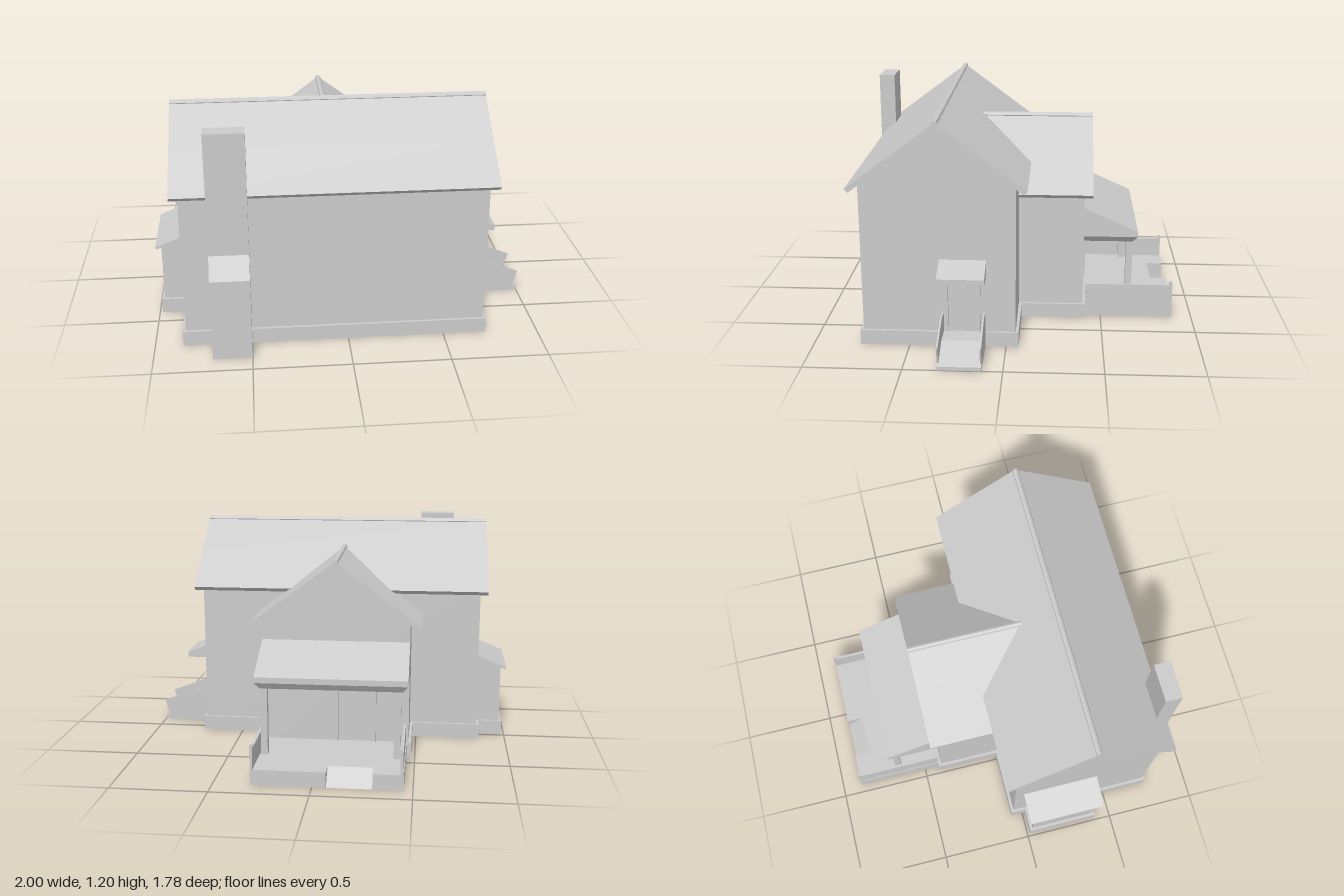
import * as THREE from 'three';

const mat = new THREE.MeshStandardMaterial({ color: 0xcccccc, side: THREE.DoubleSide, flatShading: true });

function mesh(parent, name, geo) {
  const m = new THREE.Mesh(geo, mat);
  m.name = name;
  parent.add(m);
  return m;
}

// Box given by its two corners
function box(parent, name, x0, x1, y0, y1, z0, z1) {
  const m = mesh(parent, name, new THREE.BoxGeometry(x1 - x0, y1 - y0, z1 - z0));
  m.position.set((x0 + x1) / 2, (y0 + y1) / 2, (z0 + z1) / 2);
  return m;
}

// Ruled surface between two polylines of [x, y, z] points
function strip(parent, name, A, B) {
  const v = [];
  for (let i = 0; i < A.length - 1; i++) {
    v.push(...A[i], ...B[i], ...B[i + 1], ...A[i], ...B[i + 1], ...A[i + 1]);
  }
  const g = new THREE.BufferGeometry();
  g.setAttribute('position', new THREE.Float32BufferAttribute(v, 3));
  g.computeVertexNormals();
  return mesh(parent, name, g);
}

const toShape = pts => new THREE.Shape(pts.map(p => new THREE.Vector2(p[0], p[1])));

// Closed prism: profile in (x, y), running along z
const solid = (pts, depth) => new THREE.ExtrudeGeometry(toShape(pts), { depth, bevelEnabled: false });

// Hollow prism without a bottom; profile runs up, over and down again
function hollow(name, pts, depth, frontEnd = true) {
  const g = new THREE.Group();
  g.name = name;
  strip(g, name + 'Sides', pts.map(p => [p[0], p[1], 0]), pts.map(p => [p[0], p[1], depth]));
  mesh(g, name + 'BackEnd', new THREE.ShapeGeometry(toShape(pts)));
  if (frontEnd) mesh(g, name + 'FrontEnd', new THREE.ShapeGeometry(toShape(pts))).position.z = depth;
  return g;
}

// Turns a profile drawn in (z, y) so that it runs from x1 towards -x
function alongX(o, x1) {
  o.rotation.y = -Math.PI / 2;
  o.position.x = x1;
  return o;
}

// Foundation skirt with a ledge on top, around a wall rectangle [x0, x1, z0, z1]
function skirt(parent, name, [x0, x1, z0, z1], start, sides) {
  const h = 0.08, t = 0.015;
  const ring = (o, y) => {
    const c = [[x1 + o, y, z1 + o], [x0 - o, y, z1 + o], [x0 - o, y, z0 - o], [x1 + o, y, z0 - o]];
    return Array.from({ length: sides + 1 }, (_, i) => c[(start + i) % 4]);
  };
  strip(parent, name, ring(t, 0), ring(t, h));
  strip(parent, name + 'Ledge', ring(t, h), ring(0, h));
}

const gable = (c, w, eave, peak) => [[c - w, 0], [c - w, eave], [c, peak], [c + w, eave], [c + w, 0]];

// Thin gabled roof profile; the mid points sit at drop "mid" below the ridge
function roofProfile(c, peak, drop, mid) {
  const w = 0.455, t = 0.034, s = mid / drop;
  return [[-w, -drop], [-w * s, -mid], [0, 0], [w * s, -mid], [w, -drop],
    [w - 0.018, -drop - 0.02], [w * s, -mid - t], [0, -t], [-w * s, -mid - t], [-w + 0.018, -drop - 0.02]]
    .map(([u, y]) => [c + u, peak + y]);
}

function ridge(parent, name, len) {
  return mesh(parent, name, new THREE.CylinderGeometry(0.016, 0.016, len, 8));
}

export function createModel() {
  const root = new THREE.Group();
  root.name = 'house';

  // Main block
  const main = [-0.84, 0.71, -0.05, 0.74];
  root.add(alongX(hollow('mainWalls', gable(0.345, 0.395, 0.855, 1.16), 1.55), 0.71));
  skirt(root, 'mainFoundation', main, 0, 4);
  alongX(mesh(root, 'mainRoof', solid(roofProfile(0.345, 1.19, 0.34, 0.17), 1.63)), 0.75);
  const cap = ridge(root, 'mainRidge', 1.63);
  cap.rotation.z = Math.PI / 2;
  cap.position.set(-0.065, 1.184, 0.345);

  // Rear wing, open towards the main block
  const cx = -0.07;
  const wing = hollow('wingWalls', gable(cx, 0.395, 0.735, 1.03), 0.35, false);
  wing.position.z = -0.4;
  root.add(wing);
  skirt(root, 'wingFoundation', [-0.465, 0.325, -0.4, -0.065], 1, 3);

  // Wing roof: its inner end follows the slope of the main roof
  const wingRoof = solid(roofProfile(cx, 1.055, 0.335, 0.17), 1);
  const p = wingRoof.attributes.position;
  for (let i = 0; i < p.count; i++) {
    const valley = 0.345 - (1.19 - p.getY(i)) * 0.455 / 0.34;
    p.setZ(i, p.getZ(i) < 0.5 ? -0.445 : Math.max(-0.05, valley));
  }
  wingRoof.computeVertexNormals();
  mesh(root, 'wingRoof', wingRoof);
  const wingCap = ridge(root, 'wingRidge', 0.615);
  wingCap.rotation.x = Math.PI / 2;
  wingCap.position.set(cx, 1.05, -0.1375);

  // Chimney
  root.add(alongX(hollow('chimney',
    [[0.74, 0], [0.74, 1.185], [0.83, 1.185], [0.83, 0.55], [0.895, 0.44], [0.895, 0]], 0.2), -0.5));

  // Lean-to on the right wall
  const lean = hollow('leanToWalls', [[-0.97, 0], [-0.97, 0.405], [-0.84, 0.458], [-0.84, 0]], 0.36);
  lean.position.z = 0.03;
  root.add(lean);
  skirt(root, 'leanToFoundation', [-0.97, -0.855, 0.03, 0.39], 0, 3);
  mesh(root, 'leanToRoof', solid([[-1, 0.402], [-0.84, 0.468], [-0.84, 0.453], [-0.995, 0.39]], 0.42));

  // Back porch deck with a ramp cut into its edge
  const [px0, px1, pz0, pz1] = [-0.455, 0.31, -0.89, -0.41];
  const [rx0, rx1, rz] = [-0.3, -0.07, -0.8];
  const deck = mesh(root, 'porchFloor', new THREE.ShapeGeometry(toShape(
    [[px0, -pz1], [px1, -pz1], [px1, -pz0], [rx1, -pz0], [rx1, -rz], [rx0, -rz], [rx0, -pz0], [px0, -pz0]])));
  deck.rotation.x = -Math.PI / 2;
  deck.position.y = 0.08;
  for (const path of [[[px0, pz1], [px0, pz0], [rx0, pz0]], [[rx1, pz0], [px1, pz0], [px1, pz1]]]) {
    strip(root, 'porchSkirt', path.map(([x, z]) => [x, 0, z]), path.map(([x, z]) => [x, 0.08, z]));
  }
  strip(root, 'porchRamp', [[rx0, 0, pz0], [rx0, 0.08, rz]], [[rx1, 0, pz0], [rx1, 0.08, rz]]);
  for (const x of [rx0, rx1]) {
    strip(root, 'rampCheek', [[x, 0, pz0], [x, 0.08, rz]], [[x, 0.08, pz0], [x, 0.08, rz]]);
  }

  // Porch rails, end posts, columns and door jambs, mirrored about the wing axis
  for (const s of [-1, 1]) {
    const pair = (name, a, b, ...yz) => {
      const xs = [cx + s * a, cx + s * b].sort((m, n) => m - n);
      box(root, name, xs[0], xs[1], ...yz);
    };
    pair('porchRail', 0.367, 0.381, 0.08, 0.19, -0.875, -0.415);
    pair('porchRailPost', 0.367, 0.381, 0.08, 0.21, -0.89, -0.875);
    pair('porchColumn', 0.325, 0.36, 0.08, 0.44, -0.665, -0.63);
  }
  for (const x of [-0.29, -0.09]) box(root, 'backDoorJamb', x, x + 0.012, 0.08, 0.405, -0.42, -0.4);
  box(root, 'backDoorHead', -0.29, -0.078, 0.393, 0.405, -0.42, -0.4);

  // Porch roof over a tapered soffit
  alongX(mesh(root, 'porchRoof', solid([[-0.69, 0.47], [-0.69, 0.5], [-0.4, 0.63], [-0.4, 0.47]], 0.785)), 0.32);
  const soffit = box(root, 'porchSoffit', -0.465, 0.32, 0.435, 0.47, -0.69, -0.4);
  const q = soffit.geometry.attributes.position;
  for (let i = 0; i < q.count; i++) {
    if (q.getY(i) > 0) continue;
    q.setX(i, q.getX(i) * 0.93);
    if (q.getZ(i) < 0) q.setZ(i, q.getZ(i) + 0.025);
  }
  soffit.geometry.computeVertexNormals();

  // Side entrance: canopy, door jambs, stoop with ramp and cheek walls
  mesh(root, 'sideCanopy', solid([[0.71, 0.39], [0.85, 0.39], [0.85, 0.42], [0.71, 0.472]], 0.24)).position.z = 0.1;
  for (const z of [0.13, 0.297]) box(root, 'sideDoorJamb', 0.71, 0.728, 0.08, 0.39, z, z + 0.014);
  mesh(root, 'sideStoop', solid([[0.72, 0], [1, 0], [1, 0.02], [0.84, 0.085], [0.72, 0.085]], 0.222)).position.z = 0.106;
  for (const z of [0.106, 0.32]) {
    mesh(root, 'sideStoopRail', solid([[0.72, 0.02], [0.975, 0.02], [1, 0.118], [0.81, 0.19], [0.72, 0.19]], 0.008))
      .position.z = z;
  }
  return root;
}
